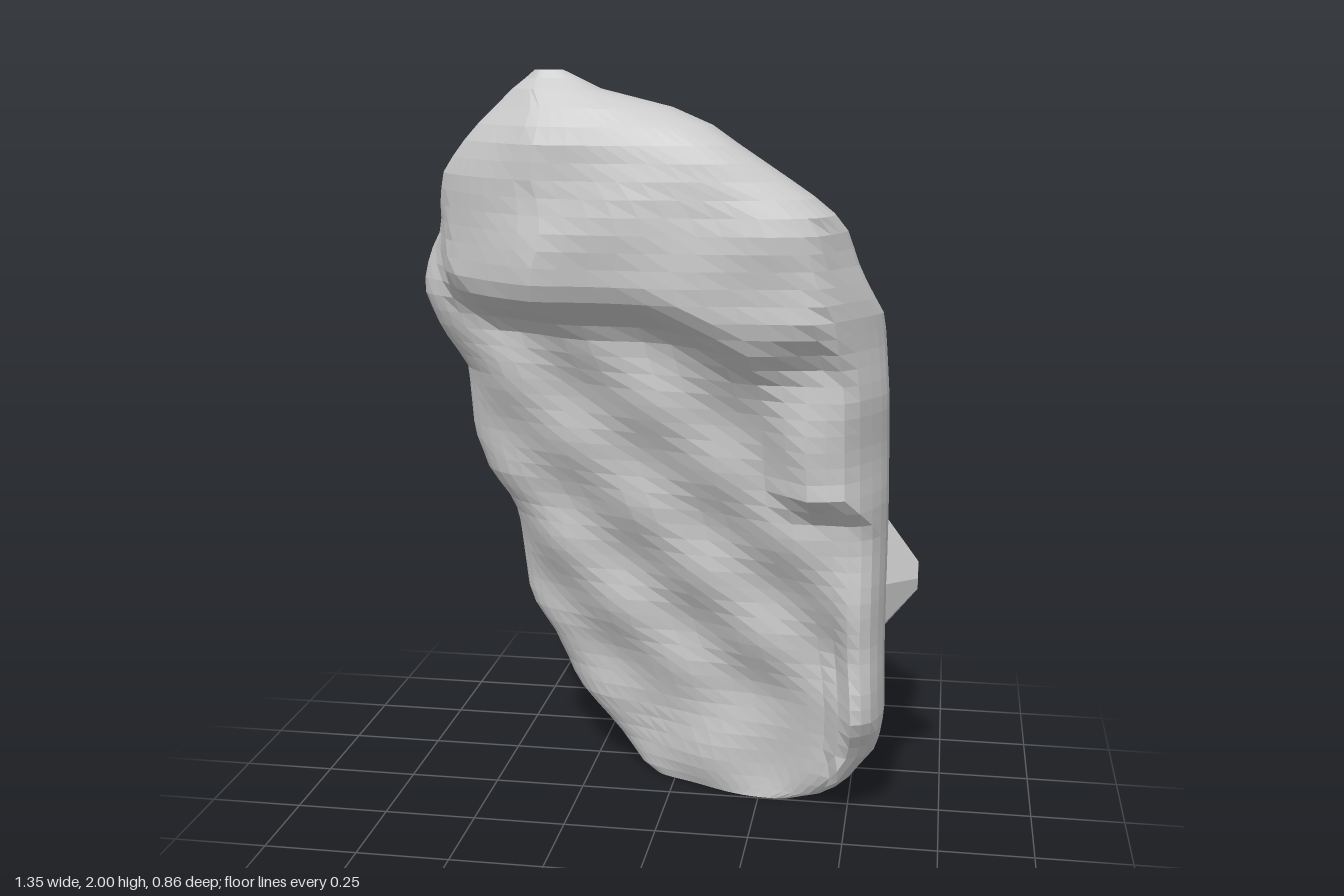
import * as THREE from 'three';

// Height profiles, each a list of [y, value]
const LEFT = [[0, -.06], [.03, -.11], [.15, -.22], [.25, -.32], [.4, -.38], [.5, -.45], [.8, -.48], [.9, -.55], [1, -.58],
  [1.2, -.58], [1.3, -.64], [1.42, -.68], [1.52, -.65], [1.6, -.6], [1.75, -.56], [1.85, -.47], [1.95, -.36], [2, -.29]];
const RIGHT = [[0, .36], [.03, .44], [.1, .51], [.2, .58], [.3, .595], [.5, .59], [.9, .59], [1.2, .585], [1.4, .57],
  [1.52, .51], [1.64, .47], [1.7, .4], [1.8, .25], [1.9, .1], [1.94, -.1], [2, -.22]];
const FRONT = [[0, .03], [.03, .06], [.1, .11], [.2, .15], [.3, .22], [.85, .24], [.92, .31], [1.2, .33], [1.3, .36],
  [1.4, .41], [1.6, .43], [1.85, .41], [1.95, .33], [2, .27]];
const BACK = [[0, -.24], [.03, -.29], [.1, -.37], [.2, -.42], [.75, -.43], [.9, -.41], [1, -.35], [1.12, -.31], [1.25, -.24],
  [1.4, -.2], [1.5, -.14], [1.65, -.08], [1.75, 0], [1.85, .08], [1.95, .18], [2, .25]];
// Lower edge of the overhanging brow, as [x, y]
const BROW = [[-.6, 1.38], [-.45, 1.33], [-.3, 1.33], [0, 1.34], [.12, 1.29], [.25, 1.2], [.35, 1.22], [.5, 1.32], [.6, 1.36]];

function sample(table, t) {
  if (t <= table[0][0]) return table[0][1];
  for (let i = 1; i < table.length; i++) {
    const [a, va] = table[i - 1], [b, vb] = table[i];
    if (t <= b) return va + (vb - va) * (t - a) / (b - a);
  }
  return table[table.length - 1][1];
}

const { smoothstep, lerp } = THREE.MathUtils;

// Turns a smooth slope into soft steps, like layered stone
const terrace = (z, p = 0.1) => z - 0.9 * p / (2 * Math.PI) * Math.sin(2 * Math.PI * z / p);

// Slight unevenness of the surface
const wobble = (x, y) => 0.004 * (Math.sin(17 * x + 9 * y) + Math.sin(23 * y - 13 * x));

function frontZ(x, y) {
  // stepped face, rising diagonally
  let z = terrace(0.045 + 0.27 * (x + y - 0.65) + 0.05 * smoothstep(-y, -0.35, 0));
  // raised edge and short pillar on the model's left
  z = lerp(z, Math.max(z, 0.23), smoothstep(x, 0.44, 0.53));
  const pillar = smoothstep(x, 0.29, 0.4) * smoothstep(y, 0.87, 0.95);
  z = lerp(z, Math.max(z, 0.32), pillar);
  // overhanging brow with a rounded outer end
  const start = sample(BROW, x);
  const edge = Math.max(smoothstep(x, -0.62, -0.53), smoothstep(y, 1.55, 1.7));
  const brow = smoothstep(y, start, start + 0.14) * edge;
  const end = Math.max(0, -0.28 - x);
  z = lerp(z, sample(FRONT, y) - 0.55 * end, brow);
  // the corner falls away towards the model's left
  return Math.min(z, sample(FRONT, y), 0.43 - 1.4 * Math.max(0, x - 0.42)) + wobble(x, y);
}

function backZ(x, y) {
  // stepped slope, leaning forward to the top and to the model's left
  const slope = -0.27 + 0.24 * (x + 0.5) + 0.38 * (y - 1.2);
  const chamfer = -0.4 + 0.62 * (x - 0.17);
  return Math.max(terrace(Math.max(slope, chamfer)), sample(BACK, y)) + wobble(x, y);
}

// Closed loops stacked in height, joined into one faceted skin
function slabGeometry() {
  const half = 26, count = half * 2;
  const heights = [0.004, 0.03, 0.065];
  for (let y = 0.105; y < 1.93; y += 0.042) heights.push(y);
  heights.push(1.955, 1.98, 2);

  const points = [], index = [];
  heights.forEach((y) => {
    const l = sample(LEFT, y), r = sample(RIGHT, y);
    // the rims are square low down and rounder towards the top
    const leftPower = lerp(4.5, 2.8, smoothstep(y, 0.9, 1.6));
    const rightPower = lerp(lerp(7, 3.8, smoothstep(y, 0.8, 1)), 2.5, smoothstep(y, 1.2, 1.6));
    for (let i = 0; i < count; i++) {
      const front = i < half;
      const u = (front ? -1 : 1) * Math.cos(Math.PI * (i % half) / half);
      const x = (l + r) / 2 + u * (r - l) / 2;
      const power = u > 0 ? rightPower : leftPower;
      const bulge = Math.pow(Math.max(0, 1 - Math.abs(u) ** power), 0.36);
      const b = backZ(x, y), f = Math.max(frontZ(x, y), b + 0.03);
      points.push(x, y, (f + b) / 2 + (front ? 1 : -1) * bulge * (f - b) / 2);
    }
  });
  for (let j = 0; j < heights.length - 1; j++) {
    for (let i = 0; i < count; i++) {
      const a = j * count + i, b = j * count + (i + 1) % count;
      const c = a + count, d = b + count;
      // triangles run along the diagonal steps
      if (i < half) index.push(a, b, c, b, d, c);
      else index.push(a, b, d, a, d, c);
    }
  }
  // bottom and top caps, spanned between the front and back of each end loop
  const last = (heights.length - 1) * count;
  for (let i = 0; i < half; i++) {
    const p = i, q = i + 1, s = (count - i) % count, t = count - i - 1;
    index.push(p, s, q, q, s, t);
    index.push(last + p, last + q, last + s, last + q, last + t, last + s);
  }
  const geometry = new THREE.BufferGeometry();
  geometry.setAttribute('position', new THREE.Float32BufferAttribute(points, 3));
  geometry.setIndex(index);
  geometry.computeVertexNormals();
  return geometry;
}

export function createModel() {
  const group = new THREE.Group();
  group.name = 'rock';
  const stone = new THREE.MeshStandardMaterial({ color: 0xcccccc, flatShading: true });

  const slab = new THREE.Mesh(slabGeometry(), stone);
  slab.name = 'rockSlab';
  group.add(slab);

  // small blunt knob on the side
  const knob = new THREE.Mesh(new THREE.CylinderGeometry(0.04, 0.2, 0.12, 7), stone);
  knob.name = 'sideKnob';
  knob.rotation.z = -Math.PI / 2;
  knob.scale.z = 0.6;
  knob.position.set(0.612, 0.66, -0.05);
  group.add(knob);

  return group;
}
